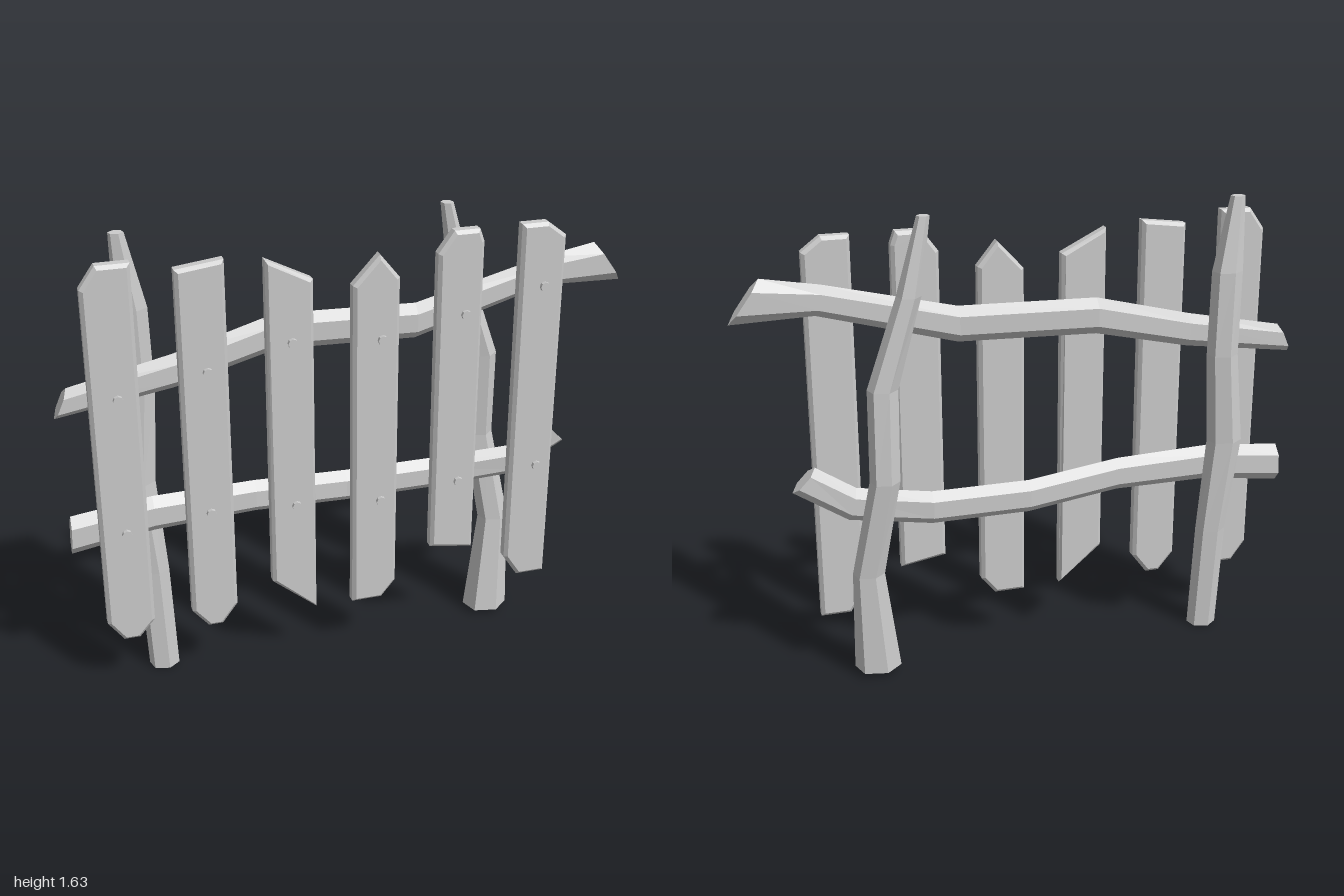
import * as THREE from 'three';

const wood = new THREE.MeshStandardMaterial({ color: 0xcccccc, flatShading: true });

// Skin a list of equal-sized rings and close both ends.
function loft(rings) {
  const pos = [];
  const tri = (...pts) => pts.forEach((p) => pos.push(p.x, p.y, p.z));
  const n = rings[0].length;
  for (let i = 0; i < rings.length - 1; i++) {
    for (let k = 0; k < n; k++) {
      const j = (k + 1) % n;
      const a = rings[i][k], b = rings[i][j], c = rings[i + 1][j], d = rings[i + 1][k];
      tri(a, b, c);
      tri(a, c, d);
    }
  }
  const first = rings[0], last = rings[rings.length - 1];
  for (let k = 1; k < n - 1; k++) {
    tri(first[0], first[k + 1], first[k]);
    tri(last[0], last[k], last[k + 1]);
  }
  const geo = new THREE.BufferGeometry();
  geo.setAttribute('position', new THREE.Float32BufferAttribute(pos, 3));
  geo.computeVertexNormals();
  return geo;
}

const hexAngles = (turn = 0) => Array.from({ length: 6 }, (_, k) => turn + (k * Math.PI) / 3);

// Upright hexagonal branch; each station is [x, y, z, radiusX, radiusZ].
function postGeometry(stations, turn) {
  return loft(stations.map(([x, y, z, rx, rz]) => hexAngles(turn).map((t) =>
    new THREE.Vector3(x + rx * Math.cos(t), y, z - rz * Math.sin(t)))));
}

// Sideways hexagonal branch; each station is [x, y, z, halfHeight, topLean].
function railGeometry(stations) {
  return loft(stations.map(([x, y, z, h, lean]) => hexAngles().map((t) =>
    new THREE.Vector3(x + lean * Math.cos(t), y + h * Math.cos(t), z + 0.037 * Math.sin(t)))));
}

// Bevelled board cut from an outline.
function plankGeometry(outline) {
  const b = 0.012;
  const shape = new THREE.Shape(outline.map(([x, y]) => new THREE.Vector2(x, y)));
  const geo = new THREE.ExtrudeGeometry(shape, {
    depth: 0.03, bevelEnabled: true, bevelThickness: b, bevelSize: b, bevelOffset: -b, bevelSegments: 1,
  });
  return geo.translate(0, 0, 0.049 + b);
}

export function createModel() {
  const group = new THREE.Group();
  const add = (name, geo) => {
    const mesh = new THREE.Mesh(geo, wood);
    mesh.name = name;
    group.add(mesh);
    return mesh;
  };

  // Crooked posts
  add('rightPost', postGeometry([
    [-0.69, 0.005, -0.02, 0.054, 0.045],
    [-0.705, 0.4, -0.03, 0.055, 0.047],
    [-0.74, 0.75, -0.035, 0.064, 0.05],
    [-0.713, 1.08, -0.042, 0.056, 0.047],
    [-0.72, 1.38, -0.035, 0.055, 0.044],
    [-0.752, 1.64, -0.02, 0.026, 0.022],
  ], -0.3));
  add('leftPost', postGeometry([
    [0.56, 0.025, -0.025, 0.083, 0.07],
    [0.582, 0.4, -0.04, 0.056, 0.047],
    [0.518, 0.75, -0.067, 0.052, 0.05],
    [0.51, 1.07, -0.045, 0.053, 0.048],
    [0.41, 1.38, -0.035, 0.042, 0.043],
    [0.352, 1.64, -0.02, 0.022, 0.022],
  ], -0.25));

  // Bent rails
  add('upperRail', railGeometry([
    [-0.978, 1.1, 0.025, 0.052, 0.023],
    [-0.6, 1.165, 0.015, 0.06, 0],
    [-0.25, 1.252, -0.008, 0.064, 0],
    [0.23, 1.252, 0.032, 0.063, 0],
    [0.7, 1.375, 0.02, 0.052, -0.01],
    [0.938, 1.388, 0.02, 0.073, -0.053],
  ]));
  add('lowerRail', railGeometry([
    [-0.983, 0.612, 0.025, 0.072, 0.003],
    [-0.7, 0.648, 0.018, 0.066, 0],
    [-0.34, 0.65, 0.0, 0.06, 0],
    [0, 0.62, -0.035, 0.06, 0],
    [0.35, 0.62, -0.035, 0.06, 0],
    [0.62, 0.65, 0.005, 0.058, -0.015],
    [0.78, 0.75, 0.022, 0.042, -0.04],
  ]));

  // Planks, each outline running anticlockwise from the lower left
  const planks = [
    [[-0.893, 0.28], [-0.84, 0.207], [-0.785, 0.207], [-0.73, 0.27], [-0.73, 1.575], [-0.84, 1.575], [-0.893, 1.5]],
    [[-0.596, 0.275], [-0.54, 0.207], [-0.49, 0.207], [-0.435, 0.28], [-0.435, 1.557], [-0.596, 1.537]],
    [[-0.304, 0.345], [-0.145, 0.212], [-0.145, 1.46], [-0.304, 1.54]],
    [[-0.01, 0.207], [0.1, 0.207], [0.152, 0.27], [0.152, 1.435], [0.083, 1.52], [-0.01, 1.42]],
    [[0.285, 0.387], [0.446, 0.36], [0.446, 1.53], [0.43, 1.575], [0.34, 1.575], [0.285, 1.5]],
    [[0.58, 0.29], [0.635, 0.207], [0.741, 0.207], [0.741, 1.525], [0.675, 1.575], [0.58, 1.575]],
  ];
  planks.forEach((outline, i) => add(`plank${i + 1}`, plankGeometry(outline)));

  // Nail heads, two per plank: [x, y]
  const nails = [
    [-0.8, 1.123], [-0.505, 1.182], [-0.22, 1.251], [0.09, 1.225], [0.385, 1.281], [0.668, 1.352],
    [-0.805, 0.63], [-0.515, 0.663], [-0.215, 0.644], [0.09, 0.615], [0.38, 0.647], [0.68, 0.666],
  ];
  const nailGeo = new THREE.CylinderGeometry(0.017, 0.017, 0.03, 8).rotateX(Math.PI / 2);
  nails.forEach(([x, y], i) => add(`nail${i + 1}`, nailGeo).position.set(x, y, 0.101));

  return group;
}
